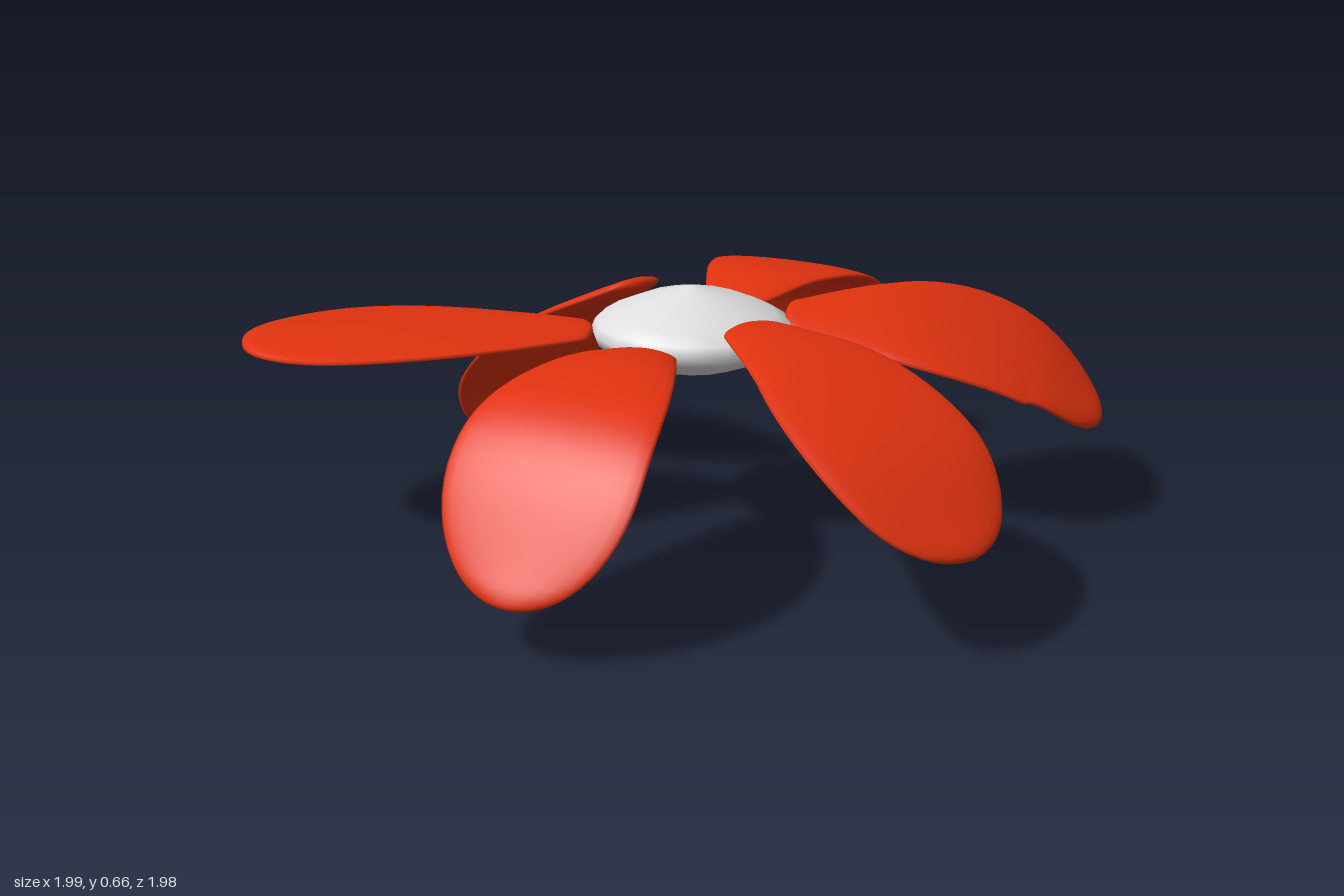
import * as THREE from 'three';

const petalRed = new THREE.MeshStandardMaterial({ color: 0xe0320f });
petalRed.name = 'petal red';
const centreWhite = new THREE.MeshStandardMaterial({ color: 0xdedede });
centreWhite.name = 'centre white';

// Half width of a petal at t: narrow base, broad near the outer end, round tip
function halfWidth(t) {
  if (t > 0.65) return 0.25 * Math.sqrt(Math.max(0, 1 - ((t - 0.65) / 0.35) ** 2));
  const base = 0.075 + 0.175 * Math.sin((t / 0.65) * Math.PI / 2);
  return t < 0.03 ? base * Math.sqrt(1 - (1 - t / 0.03) ** 2) : base;
}

// Flat elliptical sections swept along a drooping centreline
function petalGeometry(points, roll) {
  const rows = 36, sides = 24;
  const path = points.map(p => new THREE.Vector3(...p));
  const curve = new THREE.CatmullRomCurve3(path);
  const out = path[path.length - 1].clone().sub(path[0]);
  const across = new THREE.Vector3(out.z, 0, -out.x).normalize();
  const positions = [], index = [];
  for (let i = 0; i <= rows; i++) {
    const t = (1 - Math.cos(Math.PI * i / rows)) / 2;
    const centre = curve.getPointAt(t), tangent = curve.getTangentAt(t);
    const wide = across.clone().addScaledVector(tangent, -across.dot(tangent)).normalize();
    wide.applyAxisAngle(tangent, roll);
    const normal = tangent.clone().cross(wide);
    const w = halfWidth(t);
    const h = 0.022 * Math.min(1, Math.sqrt(w / 0.12));
    for (let j = 0; j < sides; j++) {
      const a = 2 * Math.PI * j / sides;
      const p = centre.clone()
        .addScaledVector(wide, w * Math.cos(a))
        .addScaledVector(normal, h * Math.sin(a));
      positions.push(p.x, p.y, p.z);
      if (i < rows) {
        const k = i * sides + j, n = i * sides + (j + 1) % sides;
        index.push(k, n, k + sides, n, n + sides, k + sides);
      }
    }
  }
  const g = new THREE.BufferGeometry();
  g.setAttribute('position', new THREE.Float32BufferAttribute(positions, 3));
  g.setIndex(index);
  g.computeVertexNormals();
  return g;
}

// Each petal droops by its own amount: centreline from base to tip, and roll
const petals = {
  frontPetal: { path: [[0.02, 0.55, 0.24], [0.03, 0.568, 0.45], [0.04, 0.49, 0.73], [0.04, 0.155, 0.98]], roll: 0 },
  backPetal: { path: [[0.02, 0.56, -0.24], [0.01, 0.583, -0.48], [0.005, 0.51, -0.75], [0.005, 0.16, -0.985]], roll: 0 },
  leftFrontPetal: { path: [[0.23, 0.62, 0.13], [0.5, 0.58, 0.26], [0.76, 0.46, 0.41], [0.975, 0.27, 0.47]], roll: 0 },
  leftBackPetal: { path: [[0.23, 0.575, -0.12], [0.51, 0.555, -0.27], [0.765, 0.45, -0.475], [0.965, 0.285, -0.51]], roll: 0.28 },
  rightBackPetal: { path: [[-0.21, 0.61, -0.15], [-0.5, 0.44, -0.265], [-0.71, 0.22, -0.385], [-0.82, 0.015, -0.42]], roll: 0 },
  rightFrontPetal: { path: [[-0.2, 0.552, 0.13], [-0.6, 0.555, 0.37], [-0.975, 0.54, 0.575]], roll: 0 },
};

export function createModel() {
  const flower = new THREE.Group();
  flower.name = 'flower';

  for (const [name, { path, roll }] of Object.entries(petals)) {
    const petal = new THREE.Mesh(petalGeometry(path, roll), petalRed);
    petal.name = name;
    flower.add(petal);
  }

  // Centre: flattened, slightly pointed disc with few sides
  const upper = [[0.265, 0], [0.255, 0.025], [0.215, 0.05], [0.13, 0.085], [0, 0.12]];
  const lower = upper.slice(1).reverse().map(([r, y]) => [r, -y]);
  const profile = [...lower, ...upper].map(([r, y]) => new THREE.Vector2(r, y));
  const centre = new THREE.Mesh(new THREE.LatheGeometry(profile, 16), centreWhite);
  centre.name = 'flowerCentre';
  centre.position.set(0.022, 0.55, 0);
  centre.scale.z = 0.96;
  flower.add(centre);

  return flower;
}
